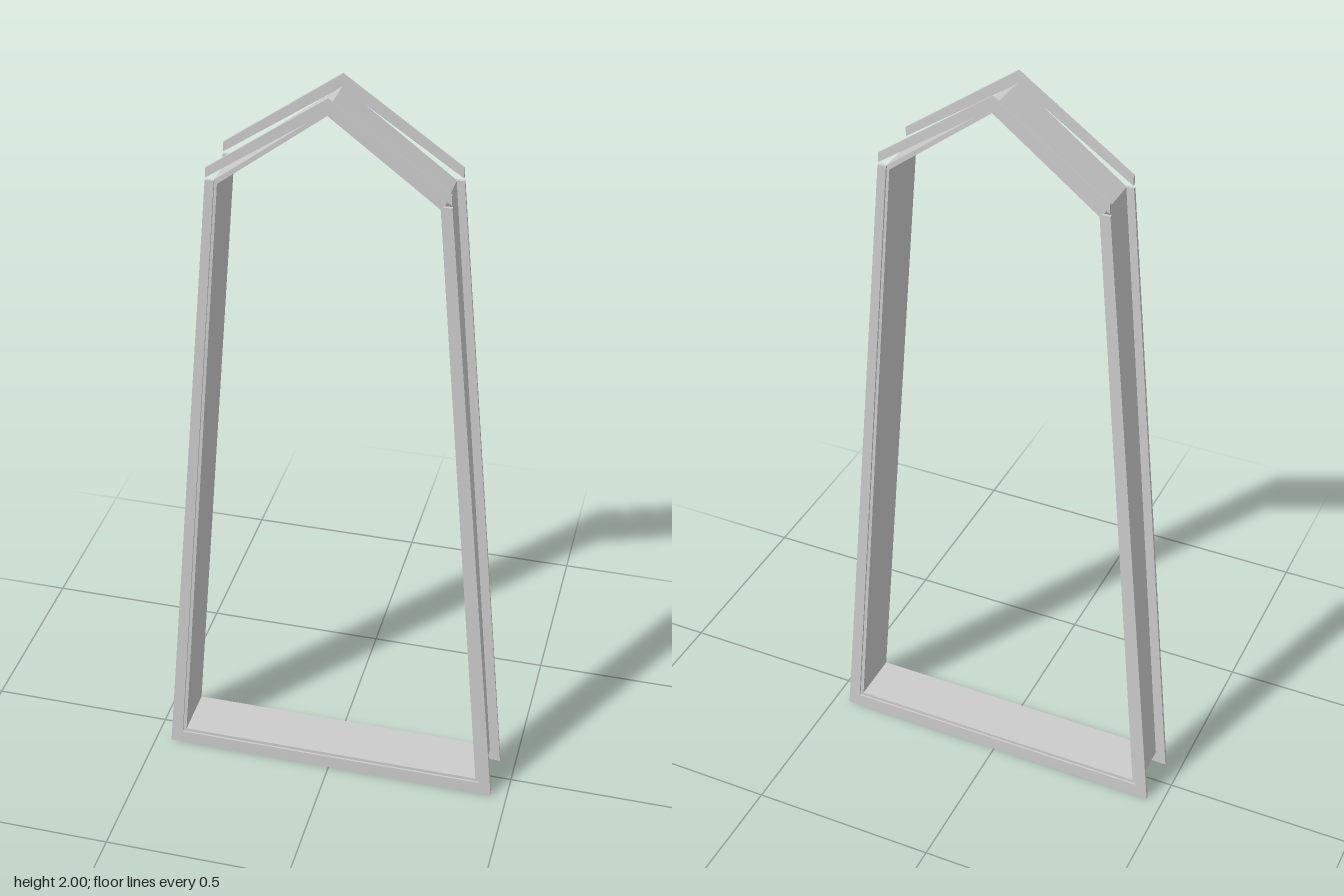
import * as THREE from 'three';

const material = new THREE.MeshStandardMaterial({ color: 0xcccccc, flatShading: true, side: THREE.DoubleSide });

// Mirrors the right-hand points [x, y] of an outline to the left, in reverse order
const mirrored = (pts) => [
  ...pts,
  ...pts.filter(([x]) => x > 0).reverse().map(([x, y]) => [-x, y]),
];
const toVectors = (pts) => pts.map(([x, y]) => new THREE.Vector2(x, y));

// Plate cut from an outline, from depth z0 to z1, with an optional opening
function plate(name, outline, z0, z1, opening) {
  const shape = new THREE.Shape(toVectors(outline));
  if (opening) shape.holes.push(new THREE.Path(toVectors(opening)));
  const geometry = new THREE.ExtrudeGeometry(shape, { depth: z1 - z0, bevelEnabled: false });
  geometry.translate(0, 0, z0);
  const mesh = new THREE.Mesh(geometry, material);
  mesh.name = name;
  return mesh;
}

export function createModel() {
  const group = new THREE.Group();
  group.name = 'pointedWindowFrame';

  // Thin lining that runs round the opening
  const liningOuter = mirrored([[0.427, 0.034], [0.273, 1.765], [0, 1.97]]);
  const liningInner = mirrored([[0.412, 0.047], [0.264, 1.757], [0, 1.957]]);
  group.add(plate('lining', liningOuter, -0.07, 0.07, liningInner));

  // Sill and jamb trim as one U, head trim as a separate chevron
  const right = [[0.457, 0], [0.292, 1.766], [0.27, 1.766], [0.422, 0.038]];
  const sillAndJambs = mirrored(right);
  const head = [
    [0.29, 1.773], [0.29, 1.797], [0, 2],
    [-0.29, 1.797], [-0.29, 1.773], [0, 1.968],
  ];

  // The same trim on the front and the back
  for (const [side, z0, z1] of [['front', 0.067, 0.075], ['back', -0.075, -0.067]]) {
    group.add(plate(side + 'SillAndJambTrim', sillAndJambs, z0, z1));
    group.add(plate(side + 'HeadTrim', head, z0, z1));
  }
  return group;
}
